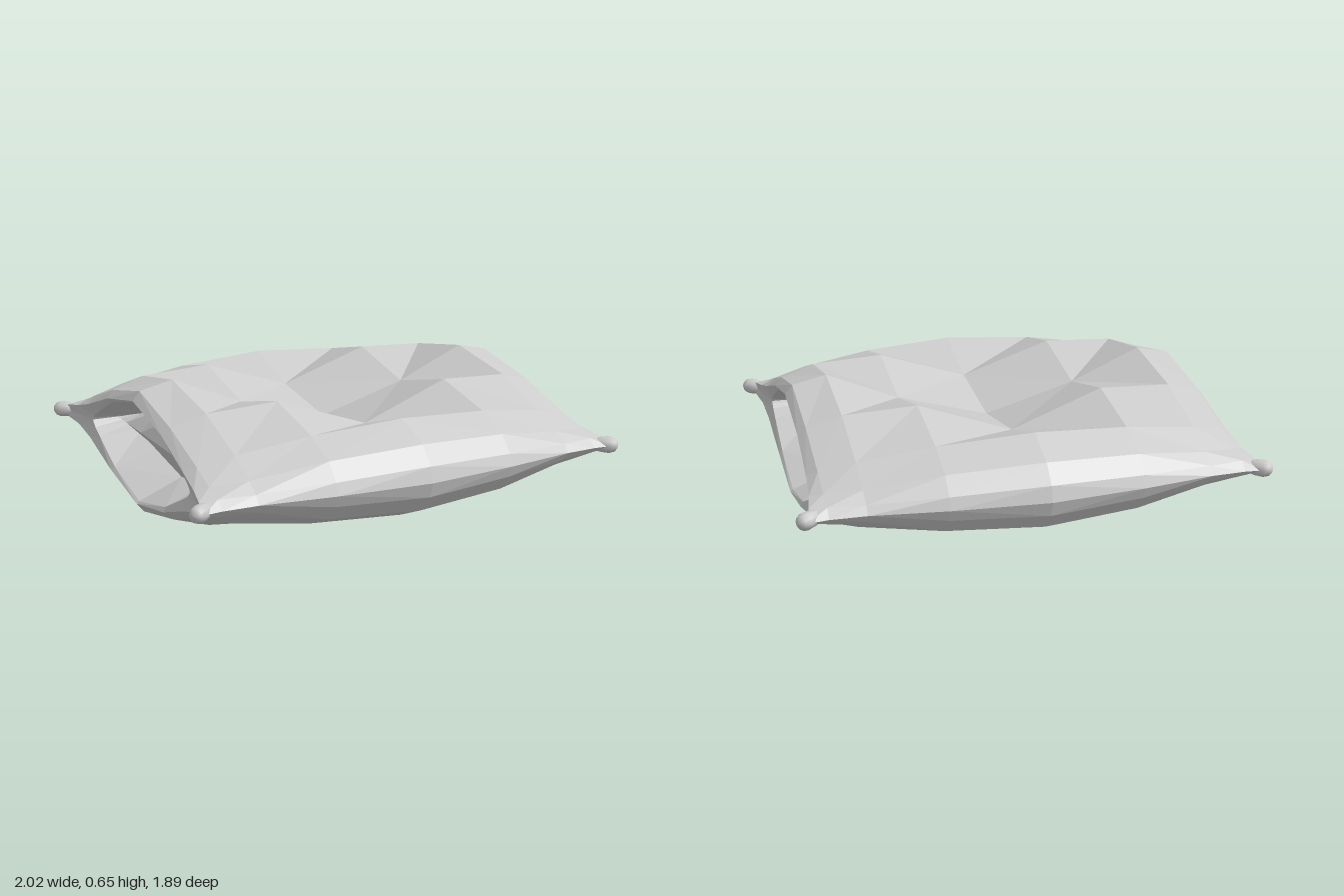
import * as THREE from 'three';

const MID = 0.348; // height of the seam

// One quarter of the cushion, as cross-sections from the middle to the open end.
// z = distance from the centre line, h = half thickness; the last point is the seam.
const body = [
  { x: 0, z: [0, 0.39, 0.70, 0.86, 0.925, 0.945], h: [0.348, 0.295, 0.21, 0.14, 0.065, 0] },
  { x: 0.41, z: [0, 0.37, 0.68, 0.83, 0.89, 0.91], h: [0.33, 0.255, 0.185, 0.12, 0.05, 0] },
  { x: 0.73, z: [0, 0.365, 0.65, 0.78, 0.84, 0.865], h: [0.303, 0.24, 0.14, 0.075, 0.035, 0] },
  { x: 0.88, z: [0, 0.35, 0.62, 0.74, 0.82, 0.86], h: [0.27, 0.195, 0.105, 0.06, 0.035, 0] },
  { x: [0.912, 0.914, 0.922, 0.932, 0.95, 0.96], z: [0, 0.33, 0.58, 0.71, 0.80, 0.87], h: [0.23, 0.165, 0.08, 0.045, 0.03, 0] },
  { x: 0.90, z: [0, 0.31, 0.50, 0.56, 0.585, 0.59], h: [0.22, 0.15, 0.06, 0.03, 0.01, 0] },
];
// Recess in the open end, closed by a wedge-shaped filling
const recess = [
  body[5],
  { x: 0.70, z: [0, 0.28, 0.47, 0.54, 0.575, 0.585], h: [0.14, 0.09, 0.035, 0.015, 0.005, 0] },
  { x: 0.78, z: [0, 0.28, 0.47, 0.54, 0.575, 0.585], h: [0, 0, 0, 0, 0, 0] },
];
// Creases pressed into the upper side: "column,row" -> half thickness
const dents = { '0,0': 0.05, '1,0': 0.167, '0,1': 0.112 };

const material = new THREE.MeshStandardMaterial({
  color: 0xcccccc, flatShading: true, side: THREE.DoubleSide,
});

// Mirrors the quarter into all eight octants
function mirroredShell(columns, topDents = {}) {
  const out = [];
  for (const sx of [1, -1]) for (const sy of [1, -1]) for (const sz of [1, -1]) {
    const point = (i, j) => {
      const c = columns[i];
      const x = Array.isArray(c.x) ? c.x[j] : c.x;
      const dent = sy > 0 ? topDents[`${i},${j}`] : undefined;
      return [sx * x, MID + sy * (dent ?? c.h[j]), sz * c.z[j]];
    };
    const tri = (a, b, c) => (sx * sy * sz > 0 ? out.push(...a, ...b, ...c) : out.push(...a, ...c, ...b));
    for (let i = 0; i < columns.length - 1; i++) {
      for (let j = 0; j < columns[i].z.length - 1; j++) {
        const a = point(i, j), b = point(i + 1, j), c = point(i + 1, j + 1), d = point(i, j + 1);
        if (i === 0 && j === 0) { // the centre folds across the other diagonal
          tri(a, d, b);
          tri(d, c, b);
        } else {
          tri(a, d, c);
          tri(a, c, b);
        }
      }
    }
  }
  const g = new THREE.BufferGeometry();
  g.setAttribute('position', new THREE.Float32BufferAttribute(out, 3));
  g.computeVertexNormals();
  return g;
}

export function createModel() {
  const group = new THREE.Group();
  group.name = 'cushion';
  const add = (geometry, name, mat = material) => {
    const mesh = new THREE.Mesh(geometry, mat);
    mesh.name = name;
    group.add(mesh);
    return mesh;
  };

  add(mirroredShell(body, dents), 'cover');
  add(mirroredShell(recess), 'endRecesses');

  // Pinched corner tips, tapering back into the seam
  const profile = [[0, -0.075], [0.022, -0.06], [0.034, -0.01], [0.037, 0.025], [0.03, 0.048], [0.016, 0.06], [0, 0.063]];
  const tip = new THREE.LatheGeometry(profile.map(([r, y]) => new THREE.Vector2(r, y)), 10);
  const smooth = new THREE.MeshStandardMaterial({ color: 0xcccccc });
  const up = new THREE.Vector3(0, 1, 0);
  for (const sx of [1, -1]) for (const sz of [1, -1]) {
    const mesh = add(tip, 'cornerTip', smooth);
    mesh.position.set(sx * 0.95, MID, sz * 0.832);
    mesh.quaternion.setFromUnitVectors(up, new THREE.Vector3(sx * 0.8, 0, sz * 0.6));
  }
  return group;
}
